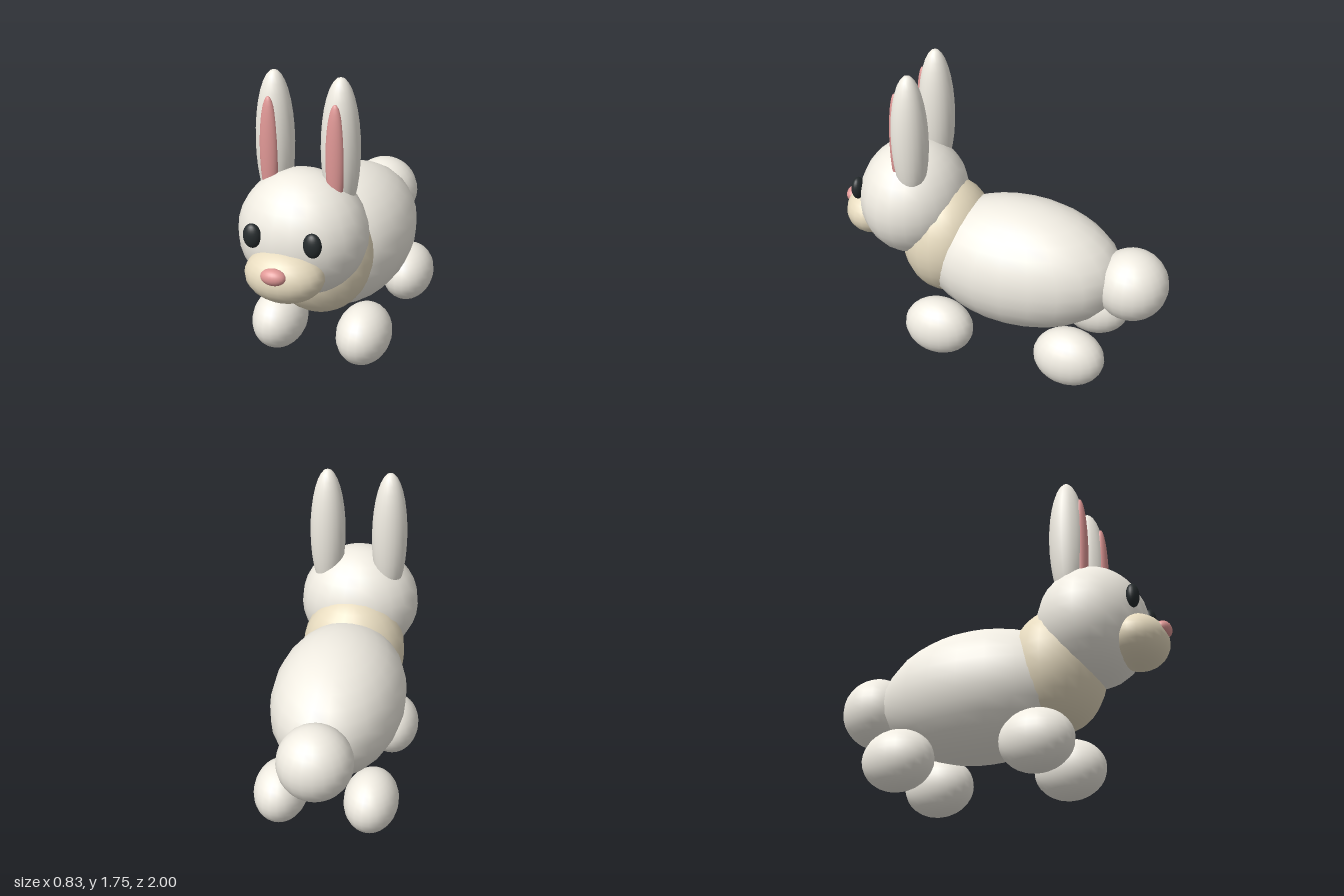
import * as THREE from 'three';

const material = (color) => new THREE.MeshStandardMaterial({ color });

export function createModel() {
  const group = new THREE.Group();
  const fur = material(0xf0ece2);
  const cream = material(0xe8dcc0);
  const pink = material(0xe09896);
  const dark = material(0x252b2d);

  // Every part is a smooth ellipsoid: centre and radii
  const ball = (name, mat, center, radii, w = 22, h = 16) => {
    const geometry = new THREE.SphereGeometry(1, w, h);
    geometry.scale(...radii);
    const mesh = new THREE.Mesh(geometry, mat);
    mesh.name = name;
    mesh.position.set(...center);
    group.add(mesh);
  };

  // Trunk, chest ruff and tail
  ball('body', fur, [0, 0.585, -0.12], [0.385, 0.385, 0.61]);
  ball('chest', cream, [0, 0.665, 0.34], [0.31, 0.355, 0.27]);
  ball('tail', fur, [0, 0.583, -0.79], [0.21, 0.21, 0.21]);

  // Head, muzzle and nose
  ball('head', fur, [0, 0.893, 0.553], [0.357, 0.347, 0.315]);
  ball('muzzle', cream, [0, 0.757, 0.81], [0.218, 0.148, 0.17]);
  ball('nose', pink, [0, 0.81, 0.955], [0.07, 0.045, 0.045]);

  // Mirrored parts
  for (const [side, s] of [['left', 1], ['right', -1]]) {
    ball(side + 'Eye', dark, [s * 0.168, 0.962, 0.838], [0.05, 0.068, 0.036]);
    ball(side + 'Ear', fur, [s * 0.185, 1.36, 0.48], [0.105, 0.39, 0.105]);
    ball(side + 'InnerEar', pink, [s * 0.185, 1.33, 0.562], [0.052, 0.3, 0.036]);
    ball(side + 'FrontFoot', fur, [s * 0.26, 0.175, 0.305], [0.155, 0.175, 0.21]);
    ball(side + 'BackFoot', fur, [s * 0.26, 0.175, -0.51], [0.155, 0.175, 0.21]);
  }
  return group;
}
